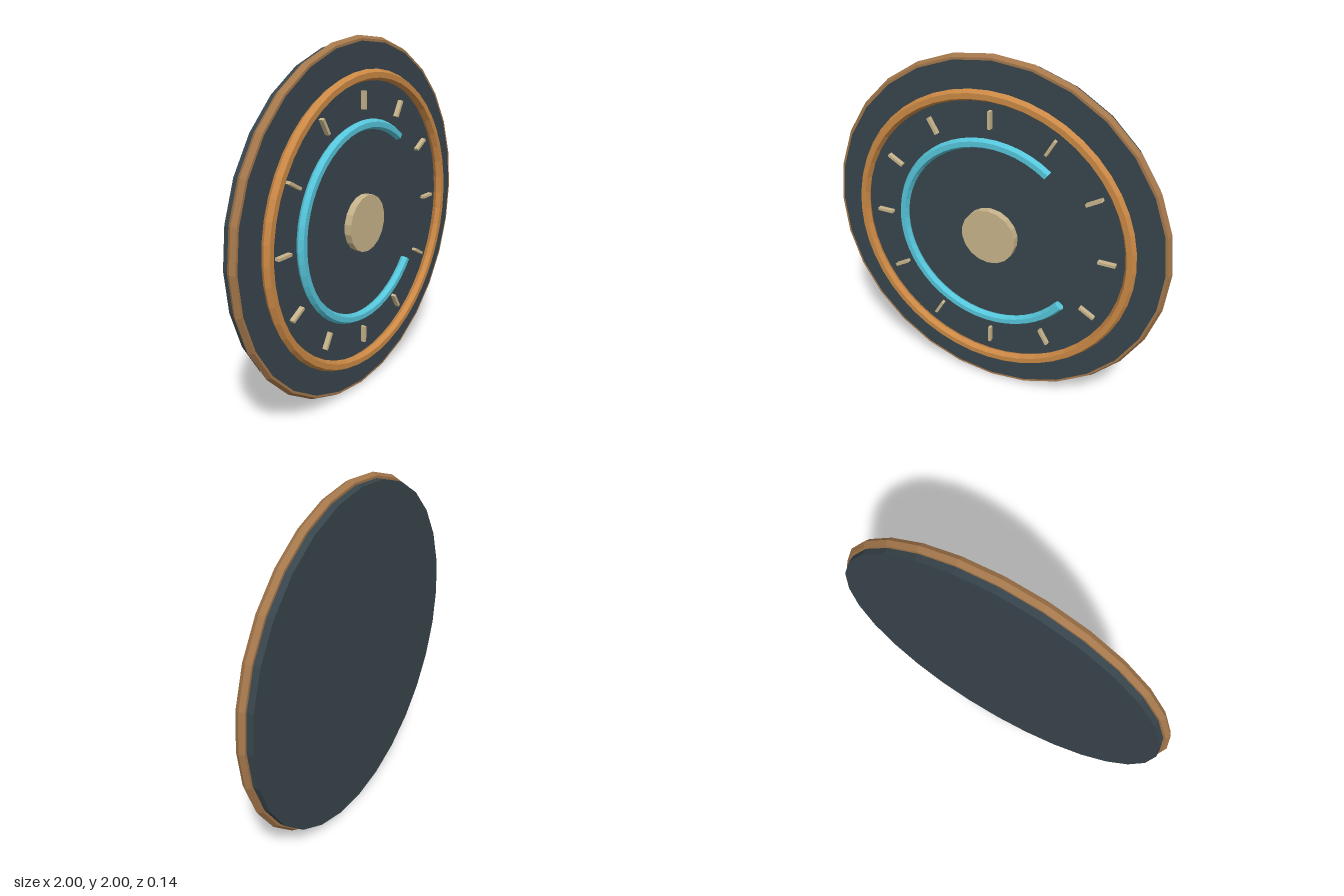
import * as THREE from 'three';

const mat = (name, color) => {
  const m = new THREE.MeshStandardMaterial({ color, flatShading: true });
  m.name = name;
  return m;
};

export function createModel() {
  const slate = mat('dark slate', 0x38454c);
  const bronze = mat('bronze', 0xa4774b);
  const copper = mat('copper', 0xcb8845);
  const cyan = mat('cyan', 0x55c5da);
  const sand = mat('sand', 0xc8b48a);

  const group = new THREE.Group();
  group.name = 'dial';
  const dial = new THREE.Group();
  dial.name = 'dialFace';
  dial.position.y = 1;
  group.add(dial);

  const add = (name, geometry, material, z = 0) => {
    const mesh = new THREE.Mesh(geometry, material);
    mesh.name = name;
    mesh.position.z = z;
    dial.add(mesh);
    return mesh;
  };
  // Disc facing +z, spanning the given depths
  const disc = (radius, back, front, sides) =>
    new THREE.CylinderGeometry(radius, radius, front - back, sides)
      .rotateX(Math.PI / 2).translate(0, 0, (front + back) / 2);

  // Backing plate and its faceted rim
  add('backPlate', disc(0.972, -0.073, 0.018, 28), slate);
  add('outerRim', new THREE.TorusGeometry(0.97, 0.03, 6, 28), bronze, -0.009);

  // Raised ring around the scale
  add('innerRing', new THREE.TorusGeometry(0.8, 0.03, 6, 48), copper, 0.045);

  // Gauge arc, open towards the right, with closed ends
  const start = 0.92, span = 4.7, arcRadius = 0.54, tube = 0.028;
  const arc = add('gaugeArc', new THREE.TorusGeometry(arcRadius, tube, 6, 40, span), cyan, 0.036);
  arc.rotation.z = start;
  for (const [angle, turn] of [[start, Math.PI / 2], [start + span, -Math.PI / 2]]) {
    const cap = new THREE.CircleGeometry(tube, 6).rotateX(turn)
      .translate(arcRadius, 0, 0).rotateZ(angle);
    add('gaugeArcEnd', cap, cyan, 0.036);
  }

  // Twelve scale marks
  const markGeometry = new THREE.BoxGeometry(0.096, 0.016, 0.03).translate(0.67, 0, 0);
  for (let i = 0; i < 12; i++) {
    add('scaleMark', markGeometry, sand, 0.03).rotation.z = i * Math.PI / 6;
  }

  // Central hub
  add('hub', disc(0.16, 0, 0.06, 18), sand);

  return group;
}
